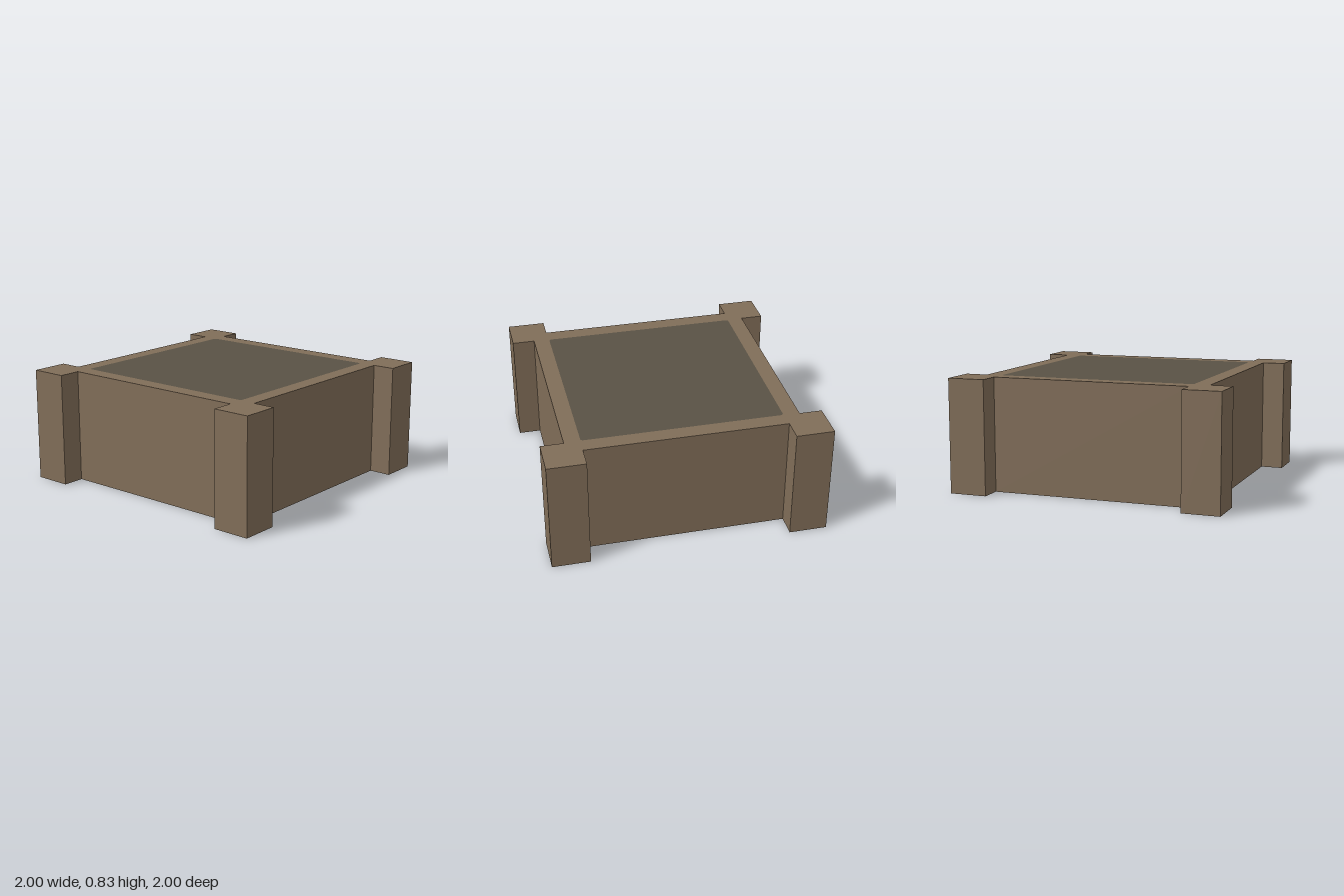
import * as THREE from 'three';

const HEIGHT = 0.83, OUTER = 1, POST = 0.725, WALL = 0.837, PANEL = 0.72;

// Closed outline: four notched corners, each a quarter turn from the last
function makeOutline() {
  const corner = [[POST, -WALL], [POST, -OUTER], [OUTER, -OUTER], [OUTER, -POST], [WALL, -POST]];
  const points = [];
  for (let turn = 0; turn < 4; turn++) {
    for (const [x, y] of corner) {
      let p = [x, y];
      for (let i = 0; i < turn; i++) p = [-p[1], p[0]];
      points.push(new THREE.Vector2(p[0], p[1]));
    }
  }
  return points;
}

// Square with small rounded corners
function roundedSquare(PathType, h, r) {
  const path = new PathType();
  path.absarc(h - r, h - r, r, 0, Math.PI / 2);
  path.absarc(-h + r, h - r, r, Math.PI / 2, Math.PI);
  path.absarc(-h + r, -h + r, r, Math.PI, Math.PI * 1.5);
  path.absarc(h - r, -h + r, r, Math.PI * 1.5, Math.PI * 2);
  path.closePath();
  return path;
}

function flatTop(shape) {
  return new THREE.ShapeGeometry(shape, 5).rotateX(-Math.PI / 2).translate(0, HEIGHT, 0);
}

// Upright faces along the outline, open underneath
function wallGeometry(outline) {
  const positions = [];
  outline.forEach((p, i) => {
    const q = outline[(i + 1) % outline.length];
    const a = [p.x, 0, -p.y], b = [q.x, 0, -q.y];
    const c = [q.x, HEIGHT, -q.y], d = [p.x, HEIGHT, -p.y];
    positions.push(...a, ...b, ...c, ...a, ...c, ...d);
  });
  const geometry = new THREE.BufferGeometry();
  geometry.setAttribute('position', new THREE.Float32BufferAttribute(positions, 3));
  geometry.computeVertexNormals();
  return geometry;
}

export function createModel() {
  const group = new THREE.Group();
  group.name = 'squarePlanter';

  const wood = new THREE.MeshStandardMaterial({ color: 0x806d58, side: THREE.DoubleSide });
  wood.name = 'brown wood';
  const soil = new THREE.MeshStandardMaterial({ color: 0x595245, side: THREE.DoubleSide });
  soil.name = 'dark soil';

  const add = (name, geometry, material) => {
    const mesh = new THREE.Mesh(geometry, material);
    mesh.name = name;
    group.add(mesh);
  };

  const outline = makeOutline();
  add('wallsAndCornerPosts', wallGeometry(outline), wood);

  // Rim with the panel set flush inside it
  const rim = new THREE.Shape(outline);
  rim.holes.push(roundedSquare(THREE.Path, PANEL, 0.02));
  add('topRim', flatTop(rim), wood);
  add('topPanel', flatTop(roundedSquare(THREE.Shape, PANEL, 0.02)), soil);

  return group;
}
